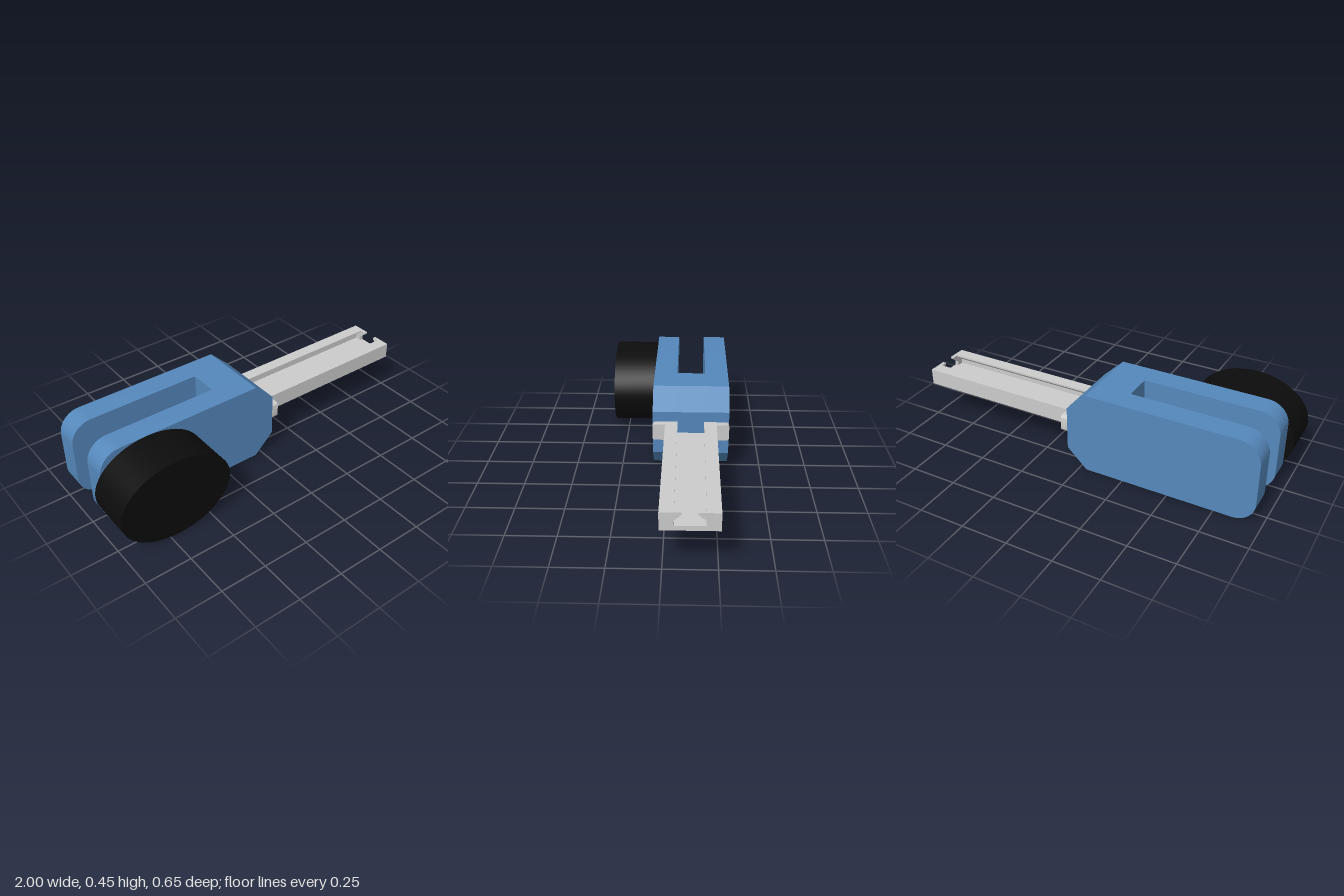
import * as THREE from 'three';
import { toCreasedNormals } from 'three/addons/utils/BufferGeometryUtils.js';

const MID_Z = -0.1225; // centre plane of the body and the rail

// Closed outline from [x, y, cornerRadius] points
function outline(points) {
  const shape = new THREE.Shape();
  const n = points.length;
  points.forEach(([x, y, r = 0], i) => {
    const toward = ([px, py]) => {
      const k = r / Math.hypot(px - x, py - y);
      return [x + (px - x) * k, y + (py - y) * k];
    };
    const a = toward(points[(i + n - 1) % n]);
    if (i === 0) shape.moveTo(...a); else shape.lineTo(...a);
    if (r > 0) {
      // cubic that closely follows a circular fillet
      const b = toward(points[(i + 1) % n]);
      const c = (p) => [p[0] + (x - p[0]) * 0.552, p[1] + (y - p[1]) * 0.552];
      shape.bezierCurveTo(...c(a), ...c(b), ...b);
    }
  });
  shape.closePath();
  return shape;
}

function extrude(shape, depth, curveSegments = 12) {
  return new THREE.ExtrudeGeometry(shape, { depth, bevelEnabled: false, curveSegments });
}

// Extrude a side outline along z
const alongZ = (points, z0, z1) => extrude(outline(points), z1 - z0).translate(0, 0, z0);

// Extrude a (width, y) section along x, centred on the rail
const alongX = (points, x0, x1) =>
  extrude(outline(points), x1 - x0).rotateY(Math.PI / 2).translate(x0, 0, MID_Z);

function add(parent, name, geometry, material) {
  const mesh = new THREE.Mesh(toCreasedNormals(geometry, 0.5), material);
  mesh.name = name;
  parent.add(mesh);
}

// U-shaped rail section with an undercut slot; o = half opening, w = half slot width
function railSection(o, w) {
  const half = [[0.136, 0.2], [0.136, 0.289], [o, 0.289], [o, 0.28], [w, 0.25], [w, 0.224]];
  return [...half, ...half.map(([x, y]) => [-x, y]).reverse()];
}

export function createModel() {
  const model = new THREE.Group();
  const blue = new THREE.MeshStandardMaterial({ color: 0x5588bb });
  const black = new THREE.MeshStandardMaterial({ color: 0x0c0c0c });
  const grey = new THREE.MeshStandardMaterial({ color: 0xcccccc });

  // Forked body: two rounded side plates joined by a solid block
  const body = new THREE.Group();
  body.name = 'forkedBody';
  model.add(body);
  const nose = [[-0.04, 0], [0.07, 0.106], [0.07, 0.343], [-0.04, 0.448]];
  const plate = [[-0.96, 0, 0.115], ...nose, [-0.96, 0.448, 0.115]];
  const block = [[-0.23, 0], ...nose, [-0.23, 0.448]];
  add(body, 'frontForkPlate', alongZ(plate, -0.045, 0.08), blue);
  add(body, 'rearForkPlate', alongZ(plate, -0.325, -0.2), blue);
  add(body, 'joiningBlock', alongZ(block, -0.2, -0.045), blue);

  // Oval knob on the front
  const oval = new THREE.Shape().absellipse(-0.695, 0.224, 0.305, 0.224, 0, Math.PI * 2);
  add(model, 'ovalKnob', extrude(oval, 0.245, 64).translate(0, 0, 0.08), black);

  // Mounting flange: two ears and a lower tab
  const flange = new THREE.Group();
  flange.name = 'mountingFlange';
  model.add(flange);
  const ear = [[0.13, 0.199], [0.2025, 0.199, 0.014], [0.2025, 0.287, 0.014], [0.13, 0.287]];
  const mirrored = ear.map(([x, y, r]) => [-x, y, r]).reverse();
  add(flange, 'frontEar', alongX(mirrored, 0.07, 0.108), grey);
  add(flange, 'rearEar', alongX(ear, 0.07, 0.108), grey);
  const tab = [[-0.1355, 0.127, 0.016], [0.1355, 0.127, 0.016], [0.1355, 0.201], [-0.1355, 0.201]];
  add(flange, 'lowerTab', alongX(tab, 0.07, 0.108), grey);

  // Slotted rail with a narrower mouth at its end
  const rail = new THREE.Group();
  rail.name = 'slottedRail';
  model.add(rail);
  add(rail, 'railChannel', alongX(railSection(0.07, 0.105), 0.07, 0.98), grey);
  add(rail, 'railMouth', alongX(railSection(0.035, 0.07), 0.98, 1), grey);

  return model;
}
